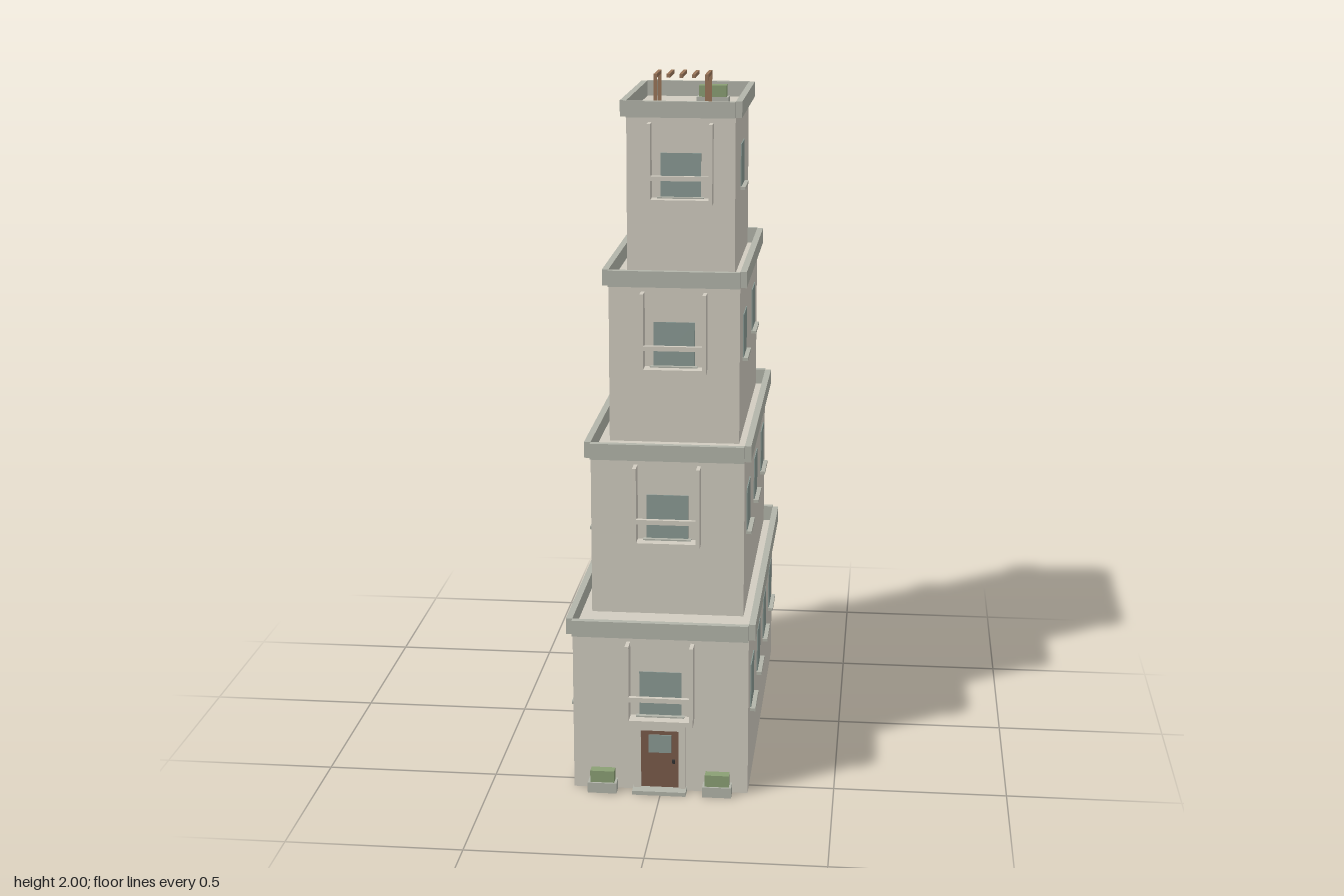
import * as THREE from 'three';

const mat = (color) => new THREE.MeshStandardMaterial({ color });
const wall = mat(0xd1ccc0), stone = mat(0xb3b5aa), glass = mat(0x8a9a94);
const wood = mat(0x7a5a4a), timber = mat(0x9a7558), leaf = mat(0x8a9f74), metal = mat(0x333333);

const CX = -0.0025, BACK = -0.581, STEP = 0.472, RIM = 0.019;

// Box given by its min and max on each axis
function box(parent, name, material, x0, x1, y0, y1, z0, z1) {
  const mesh = new THREE.Mesh(new THREE.BoxGeometry(x1 - x0, y1 - y0, z1 - z0), material);
  mesh.position.set((x0 + x1) / 2, (y0 + y1) / 2, (z0 + z1) / 2);
  mesh.name = name;
  parent.add(mesh);
  return mesh;
}

// Window and sill facing +z locally, turned onto a wall
function addWindow(parent, x, y, z, turn) {
  const g = new THREE.Group();
  g.name = 'window';
  box(g, 'windowPane', glass, -0.061, 0.061, 0.234, 0.366, -0.002, 0.003);
  box(g, 'windowSill', stone, -0.07, 0.07, 0.226, 0.235, -0.002, 0.016);
  g.position.set(x, y, z);
  g.rotation.y = turn;
  parent.add(g);
}

// Front balcony: two tall fins, a floor and a rail
function addBalcony(parent, y, z) {
  const g = new THREE.Group();
  g.name = 'balcony';
  const d = 0.046;
  for (const s of [-1, 1]) {
    const x = s * 0.0925;
    box(g, 'balconyFin', wall, x - 0.0055, x + 0.0055, 0.217, 0.456, 0, d);
  }
  box(g, 'balconyFloor', wall, -0.087, 0.087, 0.217, 0.231, 0, d);
  box(g, 'balconyRail', wall, -0.087, 0.087, 0.288, 0.302, d - 0.013, d);
  g.position.set(CX, y, z);
  parent.add(g);
}

function addPlanter(parent, x, y, z, w, d) {
  const g = new THREE.Group();
  g.name = 'planter';
  box(g, 'planterBox', stone, -w / 2, w / 2, 0, 0.031, -d / 2, d / 2);
  box(g, 'planterHedge', leaf, -w / 2 + 0.007, w / 2 - 0.007, 0.031, 0.066, -d / 2 + 0.006, d / 2 - 0.006);
  g.position.set(x, y, z);
  parent.add(g);
}

export function createModel() {
  const model = new THREE.Group();
  model.name = 'steppedBuilding';

  // Four storeys stepping back from the front
  const halfWidths = [0.254, 0.2245, 0.194, 0.163];
  const fronts = [0.556, 0.359, 0.165, -0.029];
  halfWidths.forEach((hw, i) => {
    const storey = new THREE.Group();
    storey.name = 'storey' + (i + 1);
    model.add(storey);
    const y = i * STEP, top = y + STEP, rimTop = top + 0.048;
    const x0 = CX - hw, x1 = CX + hw, front = fronts[i];
    box(storey, 'walls', wall, x0, x1, y, top, BACK, front);

    // Parapet bars, leaving notched corners
    box(storey, 'parapetFront', stone, x0, x1, top, rimTop, front, front + RIM);
    box(storey, 'parapetBack', stone, x0, x1, top, rimTop, BACK - RIM, BACK);
    box(storey, 'parapetRight', stone, x0 - RIM, x0, top, rimTop, BACK, front);
    box(storey, 'parapetLeft', stone, x1, x1 + RIM, top, rimTop, BACK, front);

    // Windows on all four walls
    const count = 4 - i, pitch = (front - BACK) / count;
    for (let k = 0; k < count; k++) {
      const z = BACK + pitch * (k + 0.5);
      addWindow(storey, x1, y, z, Math.PI / 2);
      addWindow(storey, x0, y, z, -Math.PI / 2);
    }
    addWindow(storey, CX, y, front, 0);
    addWindow(storey, CX, y, BACK, Math.PI);
    addBalcony(storey, y, front);
  });

  // Entrance
  const door = new THREE.Group();
  door.name = 'entrance';
  door.position.set(CX - 0.001, 0, fronts[0]);
  model.add(door);
  box(door, 'door', wood, -0.055, 0.055, 0.012, 0.19, 0, 0.008);
  box(door, 'doorPane', glass, -0.033, 0.033, 0.12, 0.175, 0.006, 0.011);
  box(door, 'doorKnob', metal, 0.036, 0.044, 0.09, 0.1, 0.007, 0.017);
  for (const s of [-1, 1]) {
    box(door, 'doorJamb', wall, s * 0.065 - 0.01, s * 0.065 + 0.01, 0.012, 0.19, 0, 0.016);
  }
  box(door, 'doorLintel', wall, -0.075, 0.075, 0.19, 0.217, 0, 0.016);
  box(door, 'doorStep', stone, -0.078, 0.078, 0, 0.012, 0, 0.044);
  for (const s of [-1, 1]) addPlanter(model, CX + s * 0.167, 0, 0.577, 0.084, 0.042);

  // Roof pergola
  const roof = 4 * STEP;
  const pergola = new THREE.Group();
  pergola.name = 'pergola';
  model.add(pergola);
  for (let k = 0; k < 5; k++) {
    const x = -0.094 + k * 0.039;
    box(pergola, 'pergolaSlat', timber, x - 0.005, x + 0.005, 1.989, 2, -0.301, -0.168);
    if (k % 4 === 0) {
      for (const z of [-0.296, -0.173]) {
        box(pergola, 'pergolaPost', timber, x - 0.005, x + 0.005, roof, 1.989, z - 0.005, z + 0.005);
      }
    }
  }
  addPlanter(model, 0.065, roof - 0.006, -0.366, 0.1, 0.054);

  return model;
}
